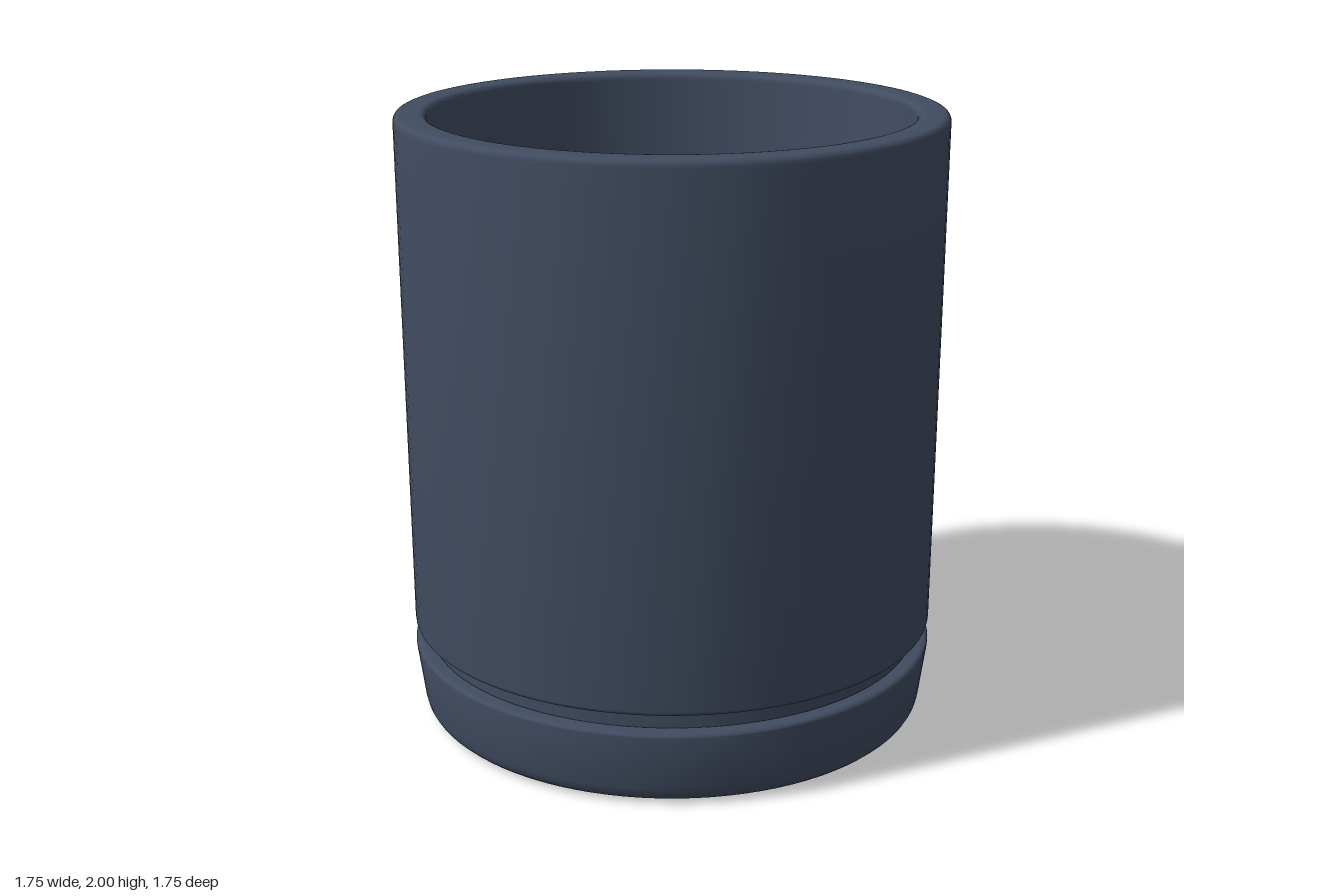
import * as THREE from 'three';
import { toCreasedNormals } from 'three/addons/utils/BufferGeometryUtils.js';

// Profile entries are [radius, height, cornerRounding]; corners are rounded with a short curve.
function roundedProfile(corners) {
  const points = [];
  corners.forEach(([r, y, round = 0], i) => {
    const corner = new THREE.Vector2(r, y);
    if (!round) return points.push(corner);
    const toward = ([nr, ny]) =>
      new THREE.Vector2(nr, ny).sub(corner).setLength(round).add(corner);
    const curve = new THREE.QuadraticBezierCurve(
      toward(corners[i - 1]), corner, toward(corners[i + 1]));
    points.push(...curve.getPoints(5));
  });
  return points;
}

function turned(name, corners, material) {
  const lathe = new THREE.LatheGeometry(roundedProfile(corners), 96);
  const mesh = new THREE.Mesh(toCreasedNormals(lathe, 0.6), material);
  mesh.name = name;
  return mesh;
}

export function createModel() {
  const glaze = new THREE.MeshStandardMaterial({ color: 0x414c61 });
  glaze.name = 'slate blue glaze';

  const model = new THREE.Group();
  model.name = 'planter';

  // Pot: recessed foot, slightly flared wall, rounded rim and hollow inside
  model.add(turned('pot', [
    [0, 0.08],
    [0.81, 0.08],
    [0.81, 0.31],
    [0.865, 0.31, 0.015],
    [0.875, 2, 0.025],
    [0.77, 2, 0.025],
    [0.765, 0.4, 0.03],
    [0, 0.4],
  ], glaze));

  // Saucer: shallow dish with a rounded base that holds the foot
  model.add(turned('saucer', [
    [0, 0.005],
    [0.5, 0],
    [0.835, 0.005, 0.05],
    [0.868, 0.25, 0.02],
    [0.815, 0.25],
    [0.815, 0.08],
    [0, 0.08],
  ], glaze));

  return model;
}
